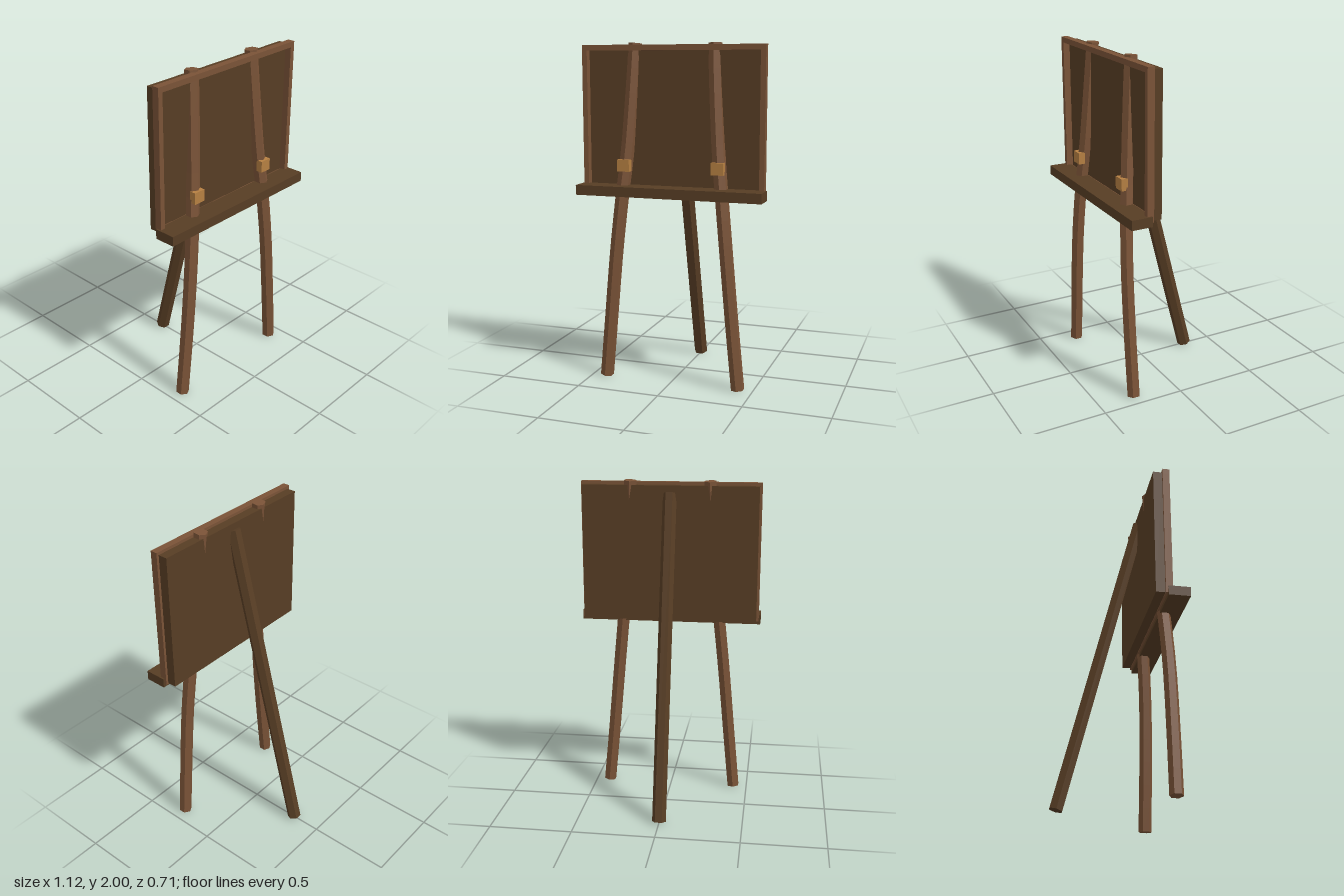
import * as THREE from 'three';

const mat = (name, color) => {
  const m = new THREE.MeshStandardMaterial({ color, flatShading: true });
  m.name = name;
  return m;
};

export function createModel() {
  const model = new THREE.Group();
  model.name = 'easel';
  const lightWood = mat('lightWood', 0x7a5337);
  const darkWood = mat('darkWood', 0x573d24);
  const paleWood = mat('paleWood', 0xb57f42);

  const add = (name, geometry, material) => {
    const mesh = new THREE.Mesh(geometry, material);
    mesh.name = name;
    model.add(mesh);
    return mesh;
  };
  // Box given by its lower and upper limits on each axis
  const box = (name, material, [x0, x1], [y0, y1], [z0, z1]) => {
    add(name, new THREE.BoxGeometry(x1 - x0, y1 - y0, z1 - z0), material)
      .position.set((x0 + x1) / 2, (y0 + y1) / 2, (z0 + z1) / 2);
  };

  // Board, its raised frame and the tray
  box('board', darkWood, [-0.535, 0.535], [1.145, 1.97], [0.16, 0.217]);
  const frameZ = [0.215, 0.257];
  box('frameTop', lightWood, [-0.55, 0.55], [1.955, 1.987], frameZ);
  box('frameBottom', lightWood, [-0.55, 0.55], [1.14, 1.172], frameZ);
  box('frameLeft', lightWood, [0.52, 0.55], [1.172, 1.955], frameZ);
  box('frameRight', lightWood, [-0.55, -0.52], [1.172, 1.955], frameZ);
  box('tray', darkWood, [-0.56, 0.56], [1.12, 1.178], [0.228, 0.356]);

  // Front legs: six-sided rods bent along a gentle curve, with pale clips
  for (const [side, s] of [['Left', 1], ['Right', -1]]) {
    const curve = new THREE.CatmullRomCurve3([
      [0.413, 0.006, 0.272], [0.375, 0.4, 0.275], [0.338, 0.8, 0.272], [0.302, 1.15, 0.255],
      [0.28, 1.35, 0.238], [0.25, 1.8, 0.206], [0.241, 1.996, 0.191],
    ].map(([x, y, z]) => new THREE.Vector3(s * x, y, z)));
    const rod = new THREE.CylinderGeometry(0.04, 0.04, 1, 6, 14);
    const pos = rod.attributes.position;
    const v = new THREE.Vector3();
    const turn = new THREE.Quaternion();
    const up = new THREE.Vector3(0, 1, 0);
    for (let i = 0; i < pos.count; i++) {
      v.fromBufferAttribute(pos, i);
      const t = THREE.MathUtils.clamp(v.y + 0.5, 0, 1);
      turn.setFromUnitVectors(up, curve.getTangentAt(t));
      v.setY(0).applyQuaternion(turn).add(curve.getPointAt(t));
      pos.setXYZ(i, v.x, v.y, v.z);
    }
    rod.computeVertexNormals();
    add('frontLeg' + side, rod, lightWood);

    const x = s * 0.285;
    box('clip' + side, paleWood, [x - 0.037, x + 0.037], [1.26, 1.33], [0.255, 0.294]);
  }

  // Straight rear leg leaning back, flat faces to front and back
  const foot = new THREE.Vector3(0, 0.01, -0.318);
  const head = new THREE.Vector3(0, 1.925, 0.174);
  const axis = head.clone().sub(foot);
  const rear = new THREE.CylinderGeometry(0.042, 0.042, axis.length(), 6);
  rear.rotateY(Math.PI / 6);
  const rearLeg = add('rearLeg', rear, darkWood);
  rearLeg.quaternion.setFromUnitVectors(new THREE.Vector3(0, 1, 0), axis.normalize());
  rearLeg.position.copy(foot).add(head).multiplyScalar(0.5);

  return model;
}
